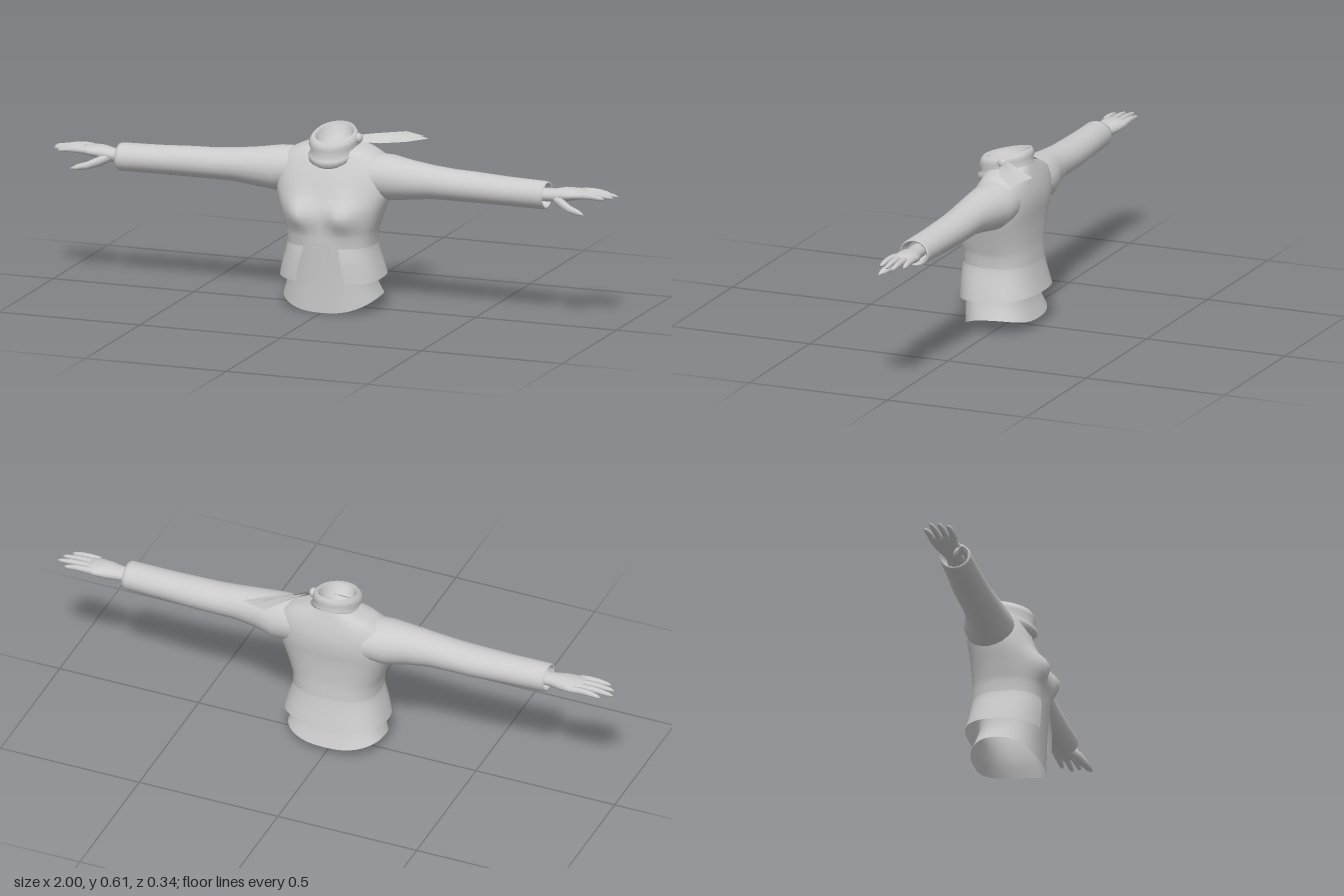
import * as THREE from 'three';

const V = (x, y, z) => new THREE.Vector3(x, y, z);
const grey = new THREE.MeshStandardMaterial({ color: 0xcccccc, side: THREE.DoubleSide });

// Skin a list of cross-sections; closed joins the last point of each to the first.
function loft(name, rings, closed = true) {
  const n = rings[0].length, pos = [], idx = [];
  rings.forEach(r => r.forEach(p => pos.push(p.x, p.y, p.z)));
  for (let i = 0; i < rings.length - 1; i++) {
    for (let j = 0; j < (closed ? n : n - 1); j++) {
      const k = (j + 1) % n, a = i * n, b = a + n;
      idx.push(a + j, a + k, b + j, a + k, b + k, b + j);
    }
  }
  const g = new THREE.BufferGeometry();
  g.setAttribute('position', new THREE.Float32BufferAttribute(pos, 3));
  g.setIndex(idx);
  g.computeVertexNormals();
  const mesh = new THREE.Mesh(g, grey);
  mesh.name = name;
  return mesh;
}

const spow = (v, e) => Math.sign(v) * Math.abs(v) ** e;

// Horizontal cross-section: half width, front z, back z, front y, back y.
// gap opens it at the front; lift raises its sides; bust adds the chest.
function bodyRing([w, zf, zb, yf, yb], { e = 0.8, gap = 0, lift = 0, bust = 0, n = 40 } = {}) {
  const pts = [], count = gap ? n + 1 : n;
  for (let i = 0; i < count; i++) {
    const t = gap + (i / n) * (Math.PI * 2 - 2 * gap);
    const c = Math.cos(t), s = Math.sin(t);
    const x = w * spow(s, e);
    const y = (yf + yb) / 2 + (yf - yb) / 2 * c + lift * s * s;
    let z = (zf + zb) / 2 + (zf - zb) / 2 * spow(c, e);
    if (c > 0) z += bust * Math.exp(-(((Math.abs(x) - 0.075) / 0.05) ** 2) - ((y - 0.335) / 0.05) ** 2);
    pts.push(V(x, y, z));
  }
  return pts;
}

// Limb along x from rows of x, centre y, centre z, radius y, radius z.
function limb(name, rows, side, n) {
  return loft(name, rows.map(([x, cy, cz, ry, rz]) => {
    const pts = [];
    for (let i = 0; i < n; i++) {
      const t = (i / n) * Math.PI * 2;
      pts.push(V(side * x, cy + ry * Math.cos(t), cz + rz * Math.sin(t)));
    }
    return side < 0 ? pts.reverse() : pts;
  }));
}

function makeArm(side) {
  const arm = new THREE.Group();
  arm.name = side > 0 ? 'leftArm' : 'rightArm';

  // Sleeve, with the cuff turned inward
  arm.add(limb('sleeve', [
    [0.13, 0.455, -0.018, 0.072, 0.083], [0.20, 0.45, -0.013, 0.076, 0.083],
    [0.27, 0.45, -0.003, 0.066, 0.069], [0.35, 0.45, 0, 0.056, 0.062],
    [0.43, 0.447, 0, 0.052, 0.060], [0.50, 0.446, 0, 0.051, 0.059],
    [0.62, 0.444, 0.005, 0.048, 0.055], [0.75, 0.443, 0.01, 0.047, 0.053],
    [0.76, 0.443, 0.01, 0.045, 0.051], [0.757, 0.443, 0.01, 0.039, 0.044],
    [0.72, 0.443, 0.01, 0.032, 0.036],
  ], side, 20));

  // Wrist and palm
  arm.add(limb('palm', [
    [0.72, 0.444, 0.008, 0.022, 0.028], [0.78, 0.445, 0.005, 0.022, 0.030],
    [0.82, 0.450, 0, 0.024, 0.040], [0.86, 0.454, -0.003, 0.019, 0.046],
    [0.89, 0.456, -0.004, 0.013, 0.044], [0.896, 0.456, -0.004, 0.001, 0.036],
  ], side, 16));

  // Four fingers, slightly fanned
  [[0.033, 0.97], [0.010, 0.993], [-0.014, 1.0], [-0.037, 0.965]].forEach(([z, tip], i) => {
    const rows = [[0, 0.012], [0.3, 0.0115], [0.6, 0.010], [0.9, 0.007], [1, 0.001]].map(([t, r]) =>
      [0.865 + (tip - 0.865) * t, 0.456 + 0.004 * Math.sin(t * Math.PI) - 0.003 * t, z * (1 + 0.15 * t), r, r]);
    arm.add(limb('finger' + (i + 1), rows, side, 8));
  });

  // Thumb, pointing forward and down
  arm.add(limb('thumb', [
    [0.785, 0.440, 0.018, 0.014, 0.014], [0.82, 0.427, 0.038, 0.018, 0.019],
    [0.855, 0.414, 0.056, 0.014, 0.015], [0.89, 0.407, 0.066, 0.010, 0.011],
    [0.91, 0.403, 0.071, 0.002, 0.002],
  ], side, 8));
  return arm;
}

export function createModel() {
  const model = new THREE.Group();
  model.name = 'jacketTorso';

  // Jacket body
  const waist = [0.150, 0.138, -0.107, 0.225, 0.225];
  model.add(loft('jacketBody', [
    waist,
    [0.152, 0.137, -0.105, 0.26, 0.26], [0.158, 0.136, -0.104, 0.28, 0.28],
    [0.165, 0.135, -0.104, 0.30, 0.30], [0.171, 0.133, -0.105, 0.32, 0.32],
    [0.178, 0.130, -0.106, 0.34, 0.34], [0.185, 0.126, -0.107, 0.36, 0.36],
    [0.191, 0.120, -0.109, 0.38, 0.38], [0.196, 0.114, -0.111, 0.40, 0.40],
    [0.200, 0.102, -0.117, 0.44, 0.44], [0.195, 0.085, -0.113, 0.48, 0.48],
    [0.178, 0.066, -0.105, 0.512, 0.515], [0.135, 0.058, -0.097, 0.53, 0.54],
    [0.080, 0.050, -0.089, 0.54, 0.565],
  ].map(r => bodyRing(r, { bust: 0.042 }))));

  // Flared jacket skirt, open at the front
  model.add(loft('jacketSkirt', [
    [[0.178, 0.146, -0.128, 0.104, 0.125], 0.42], [[0.165, 0.146, -0.117, 0.16, 0.17], 0.39],
    [[0.153, 0.143, -0.110, 0.20, 0.205], 0.36], [waist, 0.34],
  ].map(([r, gap]) => bodyRing(r, { gap })), false));

  // Undershirt with a hem that dips at front and back
  model.add(loft('undershirt', [
    [[0.168, 0.127, -0.110, 0.002, 0.030], 0.034], [[0.158, 0.128, -0.098, 0.055, 0.065], 0.015],
    [[0.146, 0.130, -0.082, 0.105, 0.115], 0], [[0.140, 0.134, -0.082, 0.17, 0.17], 0],
    [[0.146, 0.139, -0.095, 0.24, 0.24], 0],
  ].map(([r, lift]) => bodyRing(r, { lift }))));

  // Folded neck scarf: two rolls, a rim and a sunken inside
  model.add(loft('neckScarf', [
    [0.074, 0.088, -0.080, 0.484, 0.550], [0.084, 0.105, -0.087, 0.492, 0.558],
    [0.084, 0.104, -0.088, 0.510, 0.568], [0.077, 0.091, -0.084, 0.523, 0.577],
    [0.083, 0.100, -0.087, 0.545, 0.588], [0.078, 0.094, -0.085, 0.562, 0.600],
    [0.067, 0.085, -0.080, 0.574, 0.611], [0.059, 0.073, -0.071, 0.566, 0.601],
    [0.050, 0.060, -0.060, 0.535, 0.560], [0.001, 0.002, -0.002, 0.525, 0.530],
  ].map(r => bodyRing(r, { e: 1, n: 24 }))));

  // Scarf knot and its two thin tails
  const knot = new THREE.Mesh(new THREE.SphereGeometry(1, 10, 8), grey);
  knot.name = 'scarfKnot';
  knot.scale.set(0.014, 0.017, 0.018);
  knot.position.set(0.08, 0.573, -0.014);
  model.add(knot);
  model.add(loft('scarfTailBack', [
    [V(0.075, 0.582, -0.022), V(0.085, 0.562, -0.010)],
    [V(0.115, 0.580, -0.070), V(0.150, 0.563, -0.045)],
    [V(0.155, 0.576, -0.120), V(0.205, 0.562, -0.085)],
    [V(0.190, 0.571, -0.170), V(0.260, 0.566, -0.148)],
  ], false));
  model.add(loft('scarfTailFront', [
    [V(0.080, 0.585, -0.018), V(0.085, 0.562, -0.006)],
    [V(0.140, 0.576, -0.062), V(0.150, 0.558, -0.030)],
    [V(0.205, 0.570, -0.120), V(0.222, 0.558, -0.078)],
    [V(0.235, 0.568, -0.150), V(0.282, 0.562, -0.132)],
  ], false));

  model.add(makeArm(1), makeArm(-1));
  return model;
}
